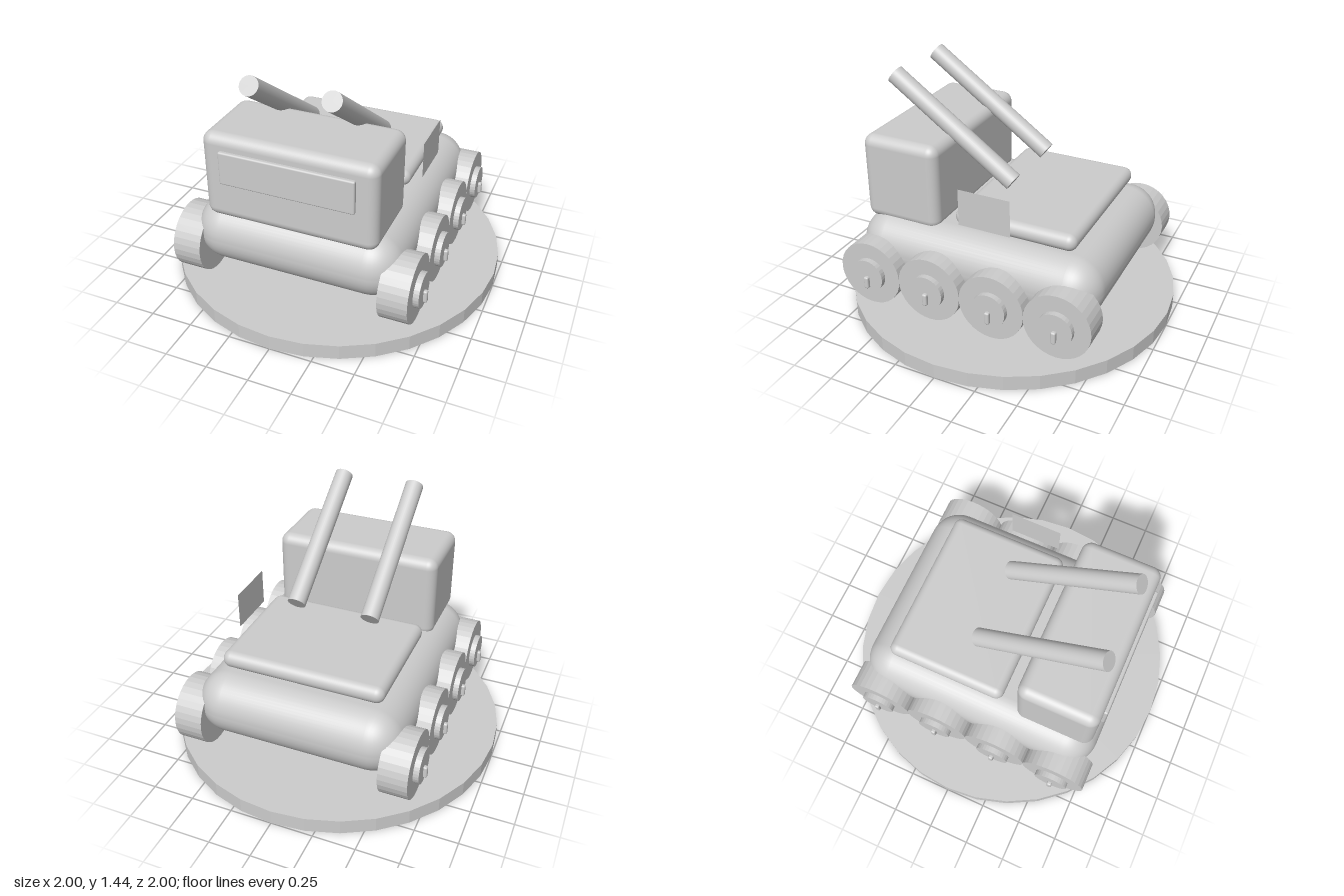
import * as THREE from 'three';
import { RoundedBoxGeometry } from 'three/addons/geometries/RoundedBoxGeometry.js';

export function createModel() {
  const model = new THREE.Group();
  model.name = 'vehicle';
  const grey = new THREE.MeshStandardMaterial({ color: 0xcccccc, side: THREE.DoubleSide });
  grey.name = 'light grey';

  const add = (name, geometry, x, y, z, parent = model) => {
    const mesh = new THREE.Mesh(geometry, grey);
    mesh.name = name;
    mesh.position.set(x, y, z);
    parent.add(mesh);
    return mesh;
  };
  const rounded = (w, h, d, r) => new RoundedBoxGeometry(w, h, d, 6, r);
  // Cylinder with faceted sides
  const faceted = (r, h) => {
    const g = new THREE.CylinderGeometry(r, r, h, 32).toNonIndexed();
    g.computeVertexNormals();
    return g;
  };

  // Round display base
  add('base', faceted(1, 0.09), 0, 0.045, 0);

  // Body
  add('hull', rounded(1.24, 0.387, 1.51, 0.187), 0, 0.434, 0);
  add('cab', rounded(1.01, 0.52, 0.48, 0.06), 0, 0.843, 0.484);
  add('windshield', rounded(0.78, 0.198, 0.04, 0.01), 0, 0.919, 0.725);
  add('rearDeck', rounded(0.97, 0.102, 0.735, 0.05), 0, 0.699, -0.219);

  // Thin panel standing beside the deck
  add('sidePanel', new THREE.PlaneGeometry(0.315, 0.22), 0.545, 0.813, -0.08).rotation.y = Math.PI / 2;

  // Raised barrels
  const low = new THREE.Vector3(0, 0.865, -0.105);
  const high = new THREE.Vector3(0, 1.39, 0.645);
  const axis = high.clone().sub(low);
  const barrelGeometry = new THREE.CylinderGeometry(0.055, 0.055, axis.length(), 32);
  for (const x of [-0.23, 0.23]) {
    const mid = low.clone().add(high).multiplyScalar(0.5);
    const barrel = add('barrel', barrelGeometry, x, mid.y, mid.z);
    barrel.quaternion.setFromUnitVectors(new THREE.Vector3(0, 1, 0), axis.clone().normalize());
  }

  // Four wheels on each side, each with a hub and a small latch
  const tyre = faceted(0.197, 0.17).rotateZ(Math.PI / 2);
  const hub = faceted(0.102, 0.05).rotateZ(Math.PI / 2);
  const latch = rounded(0.04, 0.075, 0.03, 0.01);
  for (const side of [-1, 1]) {
    for (let i = 0; i < 4; i++) {
      const wheel = new THREE.Group();
      wheel.name = 'wheel';
      wheel.position.set(0, 0.33, 0.588 - i * 0.392);
      add('tyre', tyre, side * 0.62, 0, 0, wheel);
      add('hub', hub, side * 0.713, 0, 0, wheel);
      add('latch', latch, side * 0.739, -0.037, 0, wheel);
      model.add(wheel);
    }
  }
  return model;
}
